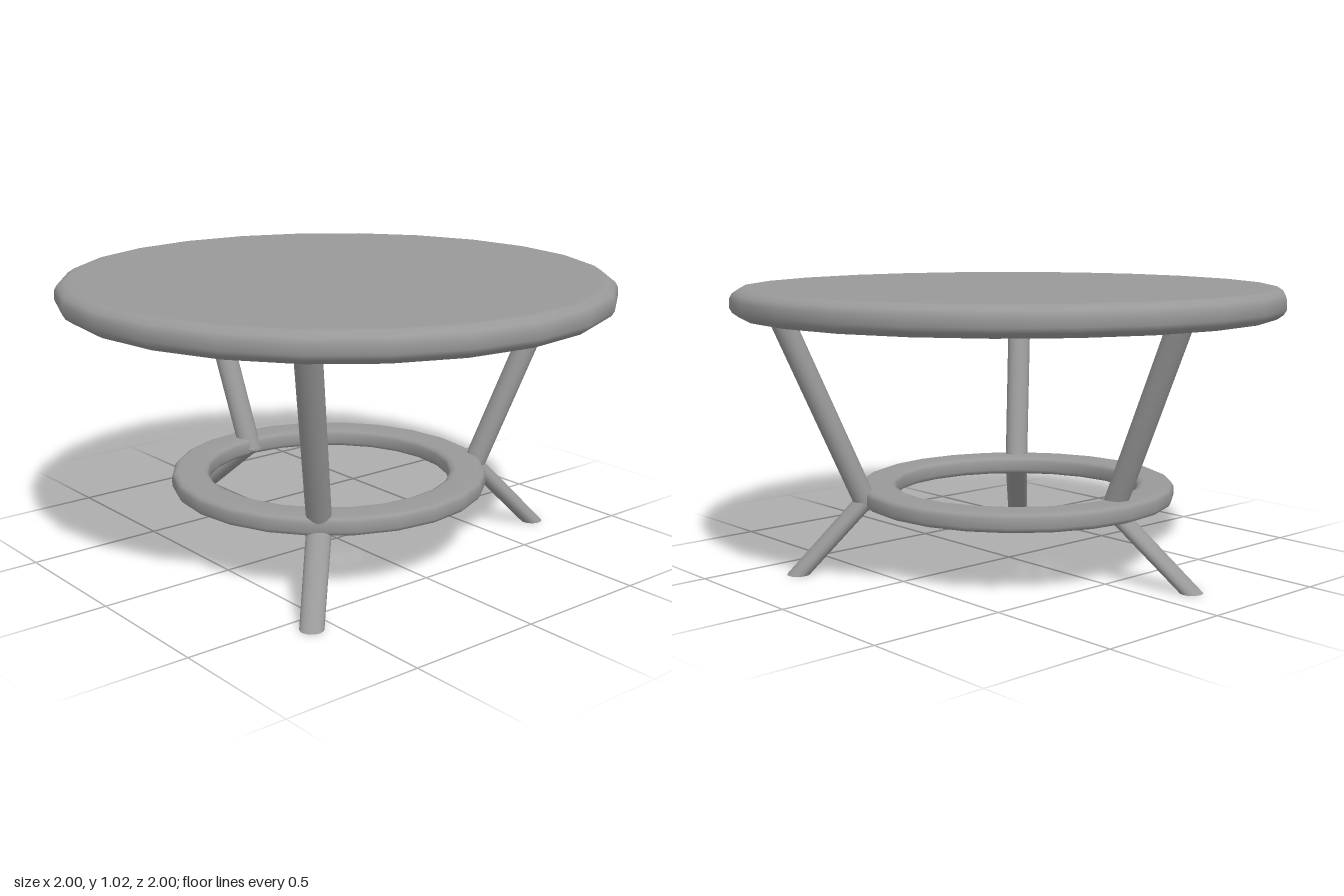
import * as THREE from 'three';

const SIDES = 24;

// Turned part from [radius, y] points, listed counter-clockwise
function turned(name, points, material) {
  const profile = points.map(([r, y]) => new THREE.Vector2(r, y));
  const mesh = new THREE.Mesh(new THREE.LatheGeometry(profile, SIDES), material);
  mesh.name = name;
  return mesh;
}

// Slanted round bar whose ends are cut level: a cylinder sheared between two points
function slantedBar(name, bottom, top, rBottom, rTop, material) {
  const height = top[1] - bottom[1];
  const geometry = new THREE.CylinderGeometry(rTop, rBottom, height, 16);
  const shear = new THREE.Matrix4().set(
    1, (top[0] - bottom[0]) / height, 0, (top[0] + bottom[0]) / 2,
    0, 1, 0, (top[1] + bottom[1]) / 2,
    0, (top[2] - bottom[2]) / height, 1, (top[2] + bottom[2]) / 2,
    0, 0, 0, 1
  );
  geometry.applyMatrix4(shear);
  const mesh = new THREE.Mesh(geometry, material);
  mesh.name = name;
  return mesh;
}

export function createModel() {
  const table = new THREE.Group();
  table.name = 'roundTable';
  const grey = new THREE.MeshStandardMaterial({ color: 0x999999 });
  grey.name = 'grey';

  // Round top with a softened rim
  table.add(turned('tableTop', [
    [0, 0.915], [0.94, 0.915], [0.967, 0.917], [0.99, 0.933], [1, 0.95],
    [1, 0.983], [0.99, 1.002], [0.967, 1.017], [0.94, 1.019], [0, 1.019],
  ], grey));

  // Flat brace ring, set slightly off centre
  const ring = turned('braceRing', [
    [0.515, 0.226], [0.56, 0.226], [0.575, 0.232], [0.583, 0.245],
    [0.583, 0.277], [0.575, 0.29], [0.56, 0.296],
    [0.473, 0.296], [0.456, 0.29], [0.448, 0.277],
    [0.448, 0.245], [0.456, 0.232], [0.473, 0.226], [0.515, 0.226],
  ], grey);
  ring.position.set(-0.012, 0, 0.027);
  table.add(ring);

  // Three legs, each an upper bar and a splayed foot meeting at the ring
  const legs = [
    { name: 'rightLeg', top: [-0.782, 0.05], joint: [-0.483, 0.05], foot: [-0.771, 0.14] },
    { name: 'backLeg', top: [0.35, -0.758], joint: [0.223, -0.497], foot: [0.33, -0.718] },
    { name: 'frontLeg', top: [0.573, 0.582], joint: [0.376, 0.382], foot: [0.58, 0.577] },
  ];
  for (const { name, top, joint, foot } of legs) {
    const leg = new THREE.Group();
    leg.name = name;
    leg.add(slantedBar('upperBar', [joint[0], 0.25, joint[1]], [top[0], 0.93, top[1]], 0.044, 0.046, grey));
    leg.add(slantedBar('foot', [foot[0], 0, foot[1]], [joint[0], 0.255, joint[1]], 0.041, 0.044, grey));
    table.add(leg);
  }

  return table;
}
